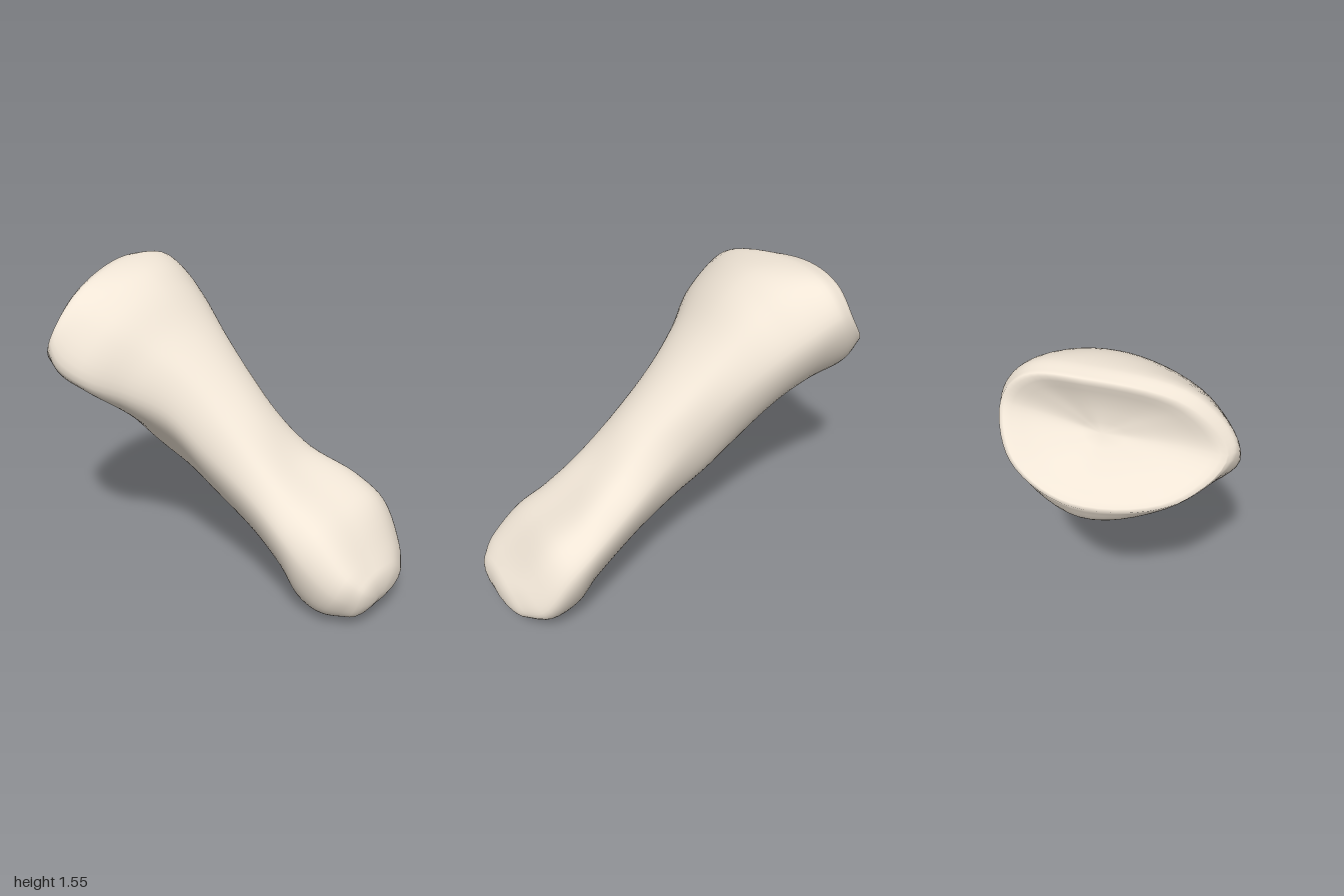
import * as THREE from 'three';
import { mergeVertices } from 'three/addons/utils/BufferGeometryUtils.js';

const COLS = 56;
const STEPS = 5; // rings between neighbouring sections

// Outline rails of the bone, from the rounded far end up to the cup rim
const rails = {
  left: [[.41, .15, .92], [.515, .2, .83], [.555, .38, .7], [.53, .48, .56], [.42, .6, .3], [.35, .73, .08],
    [.34, .86, -.09], [.37, 1.03, -.26], [.42, 1.2, -.45], [.45, 1.31, -.62], [.45, 1.37, -.75], [.42, 1.37, -.83]],
  top: [[.14, .26, .965], [.15, .33, .9], [.17, .485, .75], [.17, .58, .57], [.13, .68, .42], [.1, .88, .22],
    [.1, 1.08, 0], [.05, 1.26, -.2], [0, 1.43, -.37], [0, 1.51, -.5], [.05, 1.545, -.68], [.06, 1.53, -.77]],
  right: [[0, .14, .955], [-.08, .18, .88], [-.13, .3, .72], [-.13, .4, .58], [-.125, .53, .38], [-.16, .7, .1],
    [-.23, .87, -.1], [-.355, .96, -.26], [-.5, 1.03, -.4], [-.56, 1.11, -.54], [-.56, 1.2, -.6], [-.53, 1.2, -.64]],
  bottom: [[.15, .04, .88], [.15, .005, .72], [.18, .005, .59], [.17, .09, .5], [.13, .23, .27], [.1, .37, 0],
    [.08, .47, -.19], [.03, .59, -.38], [0, .73, -.53], [0, .84, -.71], [.03, .915, -.92], [.04, 1.04, -1]],
};
// Fullness of the corner after each rail, evenly spaced along the bone
const fullness = {
  left: [.74, .7, .7, .65, .66],
  top: [.74, .7, .7, .72, .78],
  right: [.78, .7, .61, .52, .76],
  bottom: [.76, .7, .7, .7, .71],
};

const sides = Object.keys(rails);
const curves = sides.map(k => new THREE.CatmullRomCurve3(
  rails[k].map(p => new THREE.Vector3(...p)), false, 'centripetal'));

function fullnessAt(side, t) {
  const f = fullness[side], i = Math.min(Math.floor(t * 4), 3);
  return THREE.MathUtils.lerp(f[i], f[i + 1], t * 4 - i);
}

// Smooth closed ring through the four rails and the corners between them
function ring(t) {
  const p = curves.map(c => c.getPoint(t));
  const c = new THREE.Vector3();
  p.forEach(v => c.addScaledVector(v, .25));
  const knots = p.flatMap((v, i) => {
    const corner = v.clone().add(p[(i + 1) % 4]).addScaledVector(c, -2);
    return [v, corner.multiplyScalar(fullnessAt(sides[i], t)).add(c)];
  });
  const loop = new THREE.CatmullRomCurve3(knots, true, 'centripetal');
  return { c, pts: Array.from({ length: COLS }, (_, j) => loop.getPoint(j / COLS)) };
}

// Copy of a ring shrunk to its centre and shifted
const inset = (r, s, shift) => r.pts.map(p => p.clone().sub(r.c).multiplyScalar(s).add(r.c).add(shift));

export function createModel() {
  const group = new THREE.Group();
  const n = (rails.top.length - 1) * STEPS;
  const first = ring(0), last = ring(1);
  const rows = [];

  // Rounded far end
  const out = new THREE.Vector3(-.3, -.4, .87);
  for (const [s, d] of [[0, .05], [.3, .048], [.6, .038], [.85, .02]])
    rows.push(inset(first, s, out.clone().multiplyScalar(d)));
  // Shaft and flared head
  for (let i = 0; i <= n; i++) rows.push(ring(i / n).pts);
  // Shallow joint cup
  const into = new THREE.Vector3(0, -.44, .9);
  for (const [s, d] of [[.95, -.004], [.88, .004], [.78, .022], [.62, .045], [.42, .063], [.2, .073], [0, .075]])
    rows.push(inset(last, s, into.clone().multiplyScalar(d)));

  const position = rows.flatMap(r => r.flatMap(p => p.toArray()));
  const index = [];
  for (let i = 0; i < rows.length - 1; i++) for (let j = 0; j < COLS; j++) {
    const k = (j + 1) % COLS, a = i * COLS + j, b = a + COLS, c = i * COLS + k, d = c + COLS;
    if (i < rows.length - 2) index.push(b, d, c);
    if (i > 0) index.push(a, b, c);
  }
  let geometry = new THREE.BufferGeometry();
  geometry.setAttribute('position', new THREE.Float32BufferAttribute(position, 3));
  geometry.setIndex(index);
  geometry = mergeVertices(geometry, 1e-5);
  geometry.computeVertexNormals();

  const bone = new THREE.Mesh(geometry, new THREE.MeshStandardMaterial({ color: 0xf0e5d6 }));
  bone.name = 'bone';
  group.add(bone);
  return group;
}
